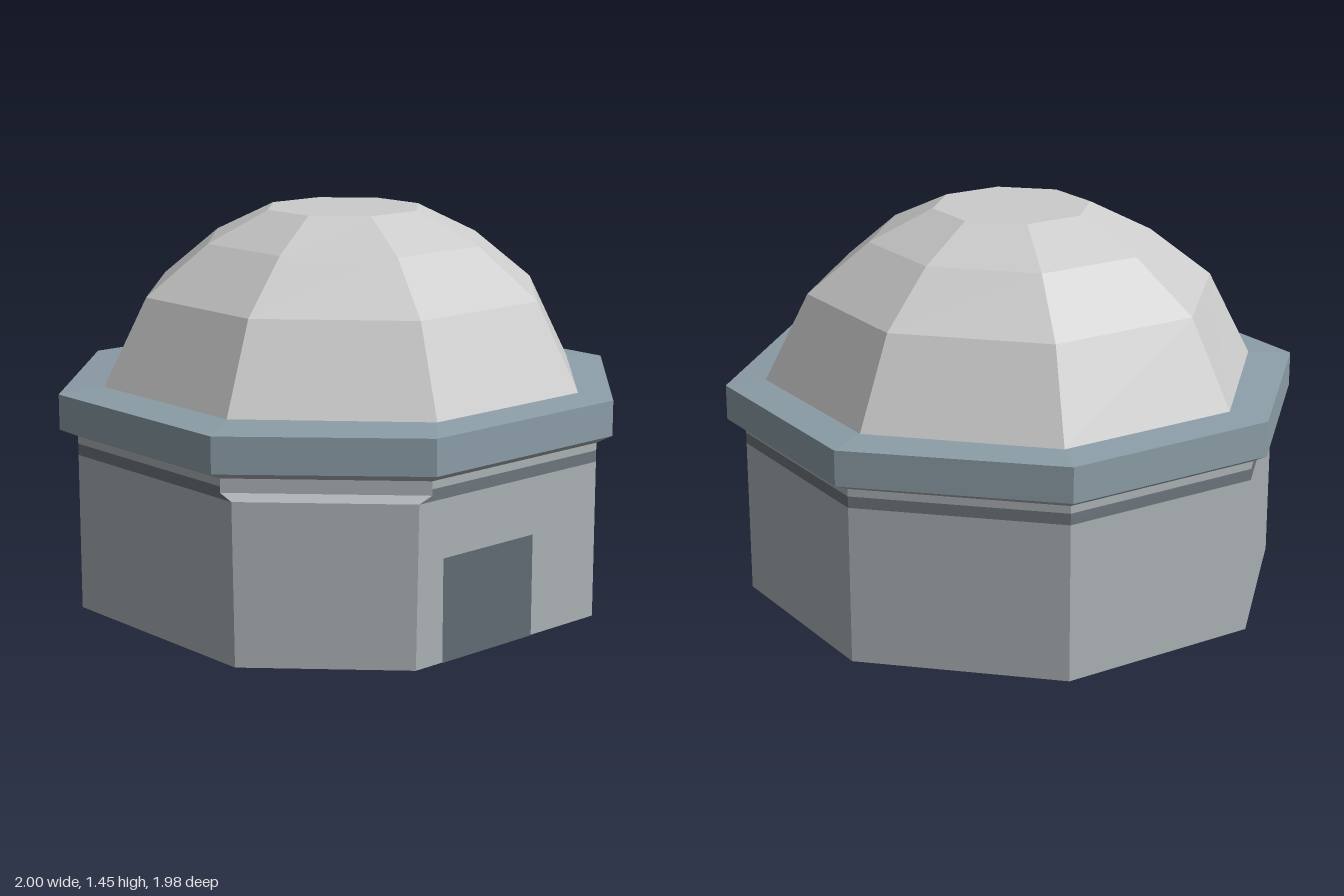
import * as THREE from 'three';

const WALL = 0xabb1b5, TRIM = 0x6e767c, RING = 0x8c9da7, DOOR = 0x616b74, GREY = 0xcccccc;

// Octagon at height y: apothem a along x and az along z, centre cx;
// extra pushes the front-right (-x, +z) chamfer outward.
function octagon(y, a, extra = 0, cx = 0, az = a) {
  const h = a * Math.tan(Math.PI / 8);
  return [
    [h, az], [a, h], [a, -h], [h, -az],
    [-h, -az], [-a, -h], [-a, h + extra], [-h - extra, az],
  ].map(([x, z]) => [x + cx, y, z]);
}

function mesh(name, positions, color) {
  const geometry = new THREE.BufferGeometry();
  geometry.setAttribute('position', new THREE.Float32BufferAttribute(positions, 3));
  geometry.computeVertexNormals();
  const m = new THREE.Mesh(geometry, new THREE.MeshStandardMaterial({
    color, flatShading: true, side: THREE.DoubleSide,
  }));
  m.name = name;
  return m;
}

// Flat facets joining a stack of octagons, bottom to top
const ALL = [0, 1, 2, 3, 4, 5, 6, 7];
function shell(name, loops, color, facets = ALL, capped = false) {
  const p = [];
  for (let k = 0; k + 1 < loops.length; k++) {
    const lo = loops[k], hi = loops[k + 1];
    for (const i of facets) {
      const j = (i + 1) % 8;
      p.push(...lo[i], ...lo[j], ...hi[j], ...lo[i], ...hi[j], ...hi[i]);
    }
  }
  if (capped) {
    const top = loops[loops.length - 1];
    for (let i = 1; i < 7; i++) p.push(...top[0], ...top[i], ...top[i + 1]);
  }
  return mesh(name, p, color);
}

export function createModel() {
  const group = new THREE.Group();
  group.name = 'domedBuilding';

  // Walls with one chamfer standing slightly proud
  const wallTop = octagon(0.58, 0.938, 0.105);
  group.add(shell('walls', [octagon(0, 0.938, 0.115), wallTop], WALL));

  // Dark trim on seven sides; a plain ledge on the proud chamfer
  const trim = [wallTop, octagon(0.6, 0.938, 0.045), octagon(0.622, 0.938, 0.045)];
  group.add(shell('trimBand', trim, TRIM, ALL.filter((i) => i !== 6)));
  group.add(shell('chamferLedge', trim, WALL, [6]));

  // Upper band and flared soffit
  const ringBottom = octagon(0.68, 1, 0.05, 0, 0.99);
  group.add(shell('soffit', [trim[2], octagon(0.65, 0.938, 0.045), ringBottom], WALL));

  // Roof ring: fascia and gently sloped top
  const domeBase = octagon(0.825, 0.853, 0, 0.012, 0.865);
  group.add(shell('roofRing', [ringBottom, octagon(0.81, 1, 0.05, 0, 0.99), domeBase], RING));

  // Faceted dome with a flat crown
  group.add(shell('dome', [
    domeBase,
    octagon(1.145, 0.703, 0, 0.012, 0.717),
    octagon(1.33, 0.488, 0, 0.015, 0.503),
    octagon(1.445, 0.273, 0, 0.012),
  ], GREY, ALL, true));

  // Door panel
  const door = new THREE.Mesh(
    new THREE.PlaneGeometry(0.44, 0.372),
    new THREE.MeshStandardMaterial({ color: DOOR }),
  );
  door.name = 'door';
  door.position.set(-0.162, 0.186, 0.942);
  group.add(door);

  return group;
}
